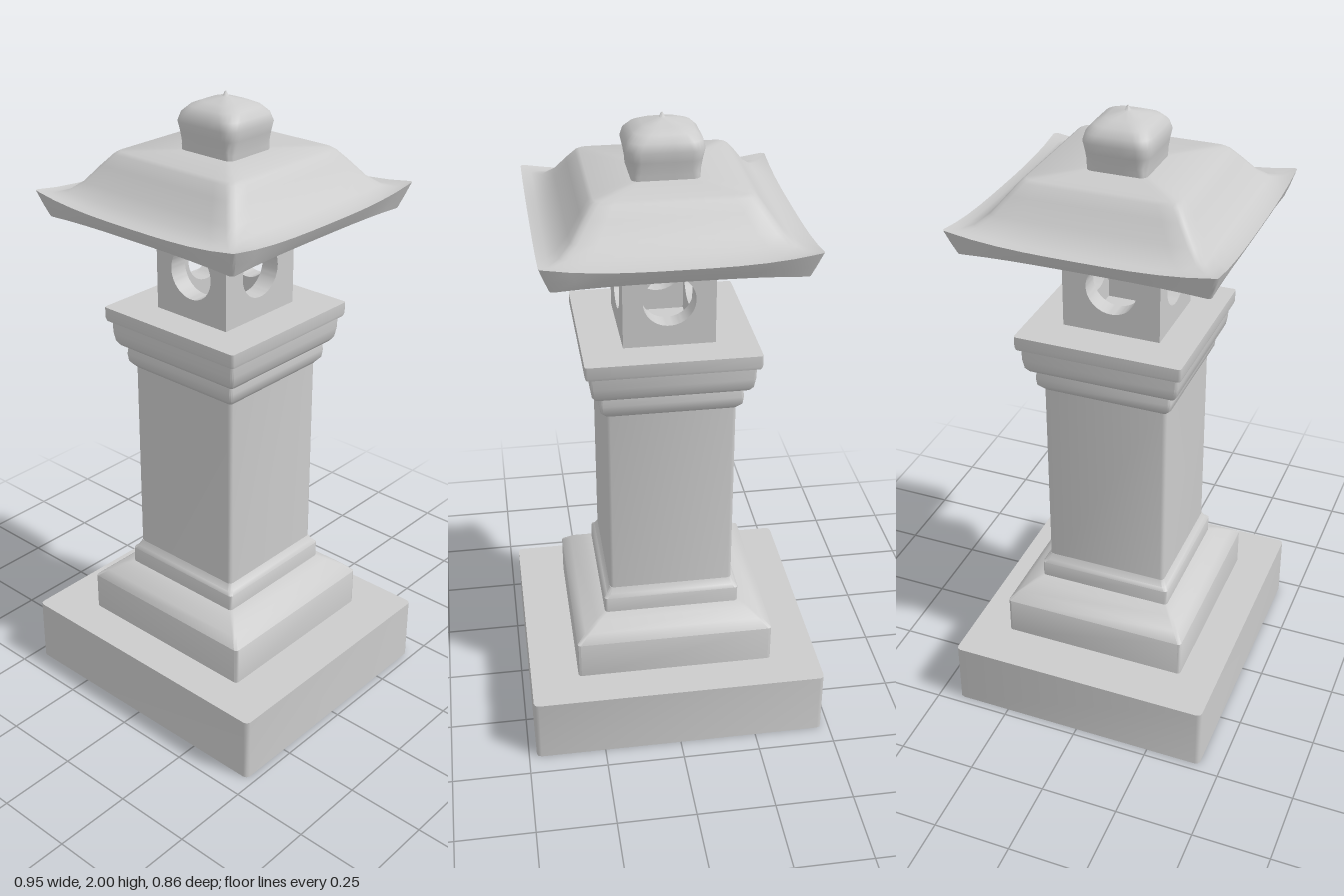
import * as THREE from 'three';
import { toCreasedNormals } from 'three/addons/utils/BufferGeometryUtils.js';

const material = new THREE.MeshStandardMaterial({ color: 0xcccccc });

// Rounded rectangle outline; lift raises and flares its corners
function outline([y, hx, hz, r, lift = 0], arcSteps, sideSteps) {
  const signs = [[1, 1], [-1, 1], [-1, -1], [1, -1]];
  const points = [];
  const arcPoint = (q, k) => {
    const a = (q % 4 + k / arcSteps) * Math.PI / 2;
    const [sx, sz] = signs[q % 4];
    return new THREE.Vector3(
      sx * (hx - r + lift * 0.2) + r * Math.cos(a), y + lift,
      sz * (hz - r + lift * 0.2) + r * Math.sin(a));
  };
  for (let q = 0; q < 4; q++) {
    for (let k = 0; k <= arcSteps; k++) points.push(arcPoint(q, k));
    const from = arcPoint(q, arcSteps), to = arcPoint(q + 1, 0);
    for (let s = 1; s < sideSteps; s++) {
      const p = from.clone().lerp(to, s / sideSteps);
      p.y = y + lift * Math.abs(2 * s / sideSteps - 1) ** 3;
      points.push(p);
    }
  }
  return points;
}

// Capped solid through a stack of outlines [y, halfX, halfZ, cornerRadius, lift]
function loft(name, rings, { arcSteps = 2, sideSteps = 1, crease = 0.9 } = {}) {
  const loops = rings.map(r => outline(r, arcSteps, sideSteps));
  const n = loops[0].length, last = loops.length - 1;
  const position = loops.flat().flatMap(p => p.toArray());
  position.push(0, rings[0][0], 0, 0, rings[last][0], 0);
  const bottom = n * loops.length, top = bottom + 1, index = [];
  for (let j = 0; j < n; j++) {
    const k = (j + 1) % n;
    for (let i = 0; i < last; i++) {
      const a = i * n + j, b = i * n + k;
      index.push(a, a + n, b, b, a + n, b + n);
    }
    index.push(bottom, j, k, top, last * n + k, last * n + j);
  }
  const geometry = new THREE.BufferGeometry();
  geometry.setAttribute('position', new THREE.Float32BufferAttribute(position, 3));
  geometry.setIndex(index);
  const mesh = new THREE.Mesh(toCreasedNormals(geometry, crease), material);
  mesh.name = name;
  return mesh;
}

// Four walls, each with a round opening
function createLightChamber() {
  const group = new THREE.Group();
  group.name = 'lightChamber';
  const hx = 0.14, hz = 0.155, thick = 0.06, y0 = 1.33, y1 = 1.66;
  const wall = (name, half, distance, angle) => {
    const shape = new THREE.Shape([
      new THREE.Vector2(-half, y0), new THREE.Vector2(half, y0),
      new THREE.Vector2(half, y1), new THREE.Vector2(-half, y1)]);
    shape.holes.push(new THREE.Path().absarc(0, 1.48, 0.08, 0, Math.PI * 2, true));
    const geometry = new THREE.ExtrudeGeometry(shape, { depth: thick, bevelEnabled: false, curveSegments: 32 });
    geometry.translate(0, 0, distance - thick);
    geometry.rotateY(angle);
    const mesh = new THREE.Mesh(toCreasedNormals(geometry, 0.6), material);
    mesh.name = name;
    group.add(mesh);
  };
  wall('frontWall', hx, hz, 0);
  wall('backWall', hx, hz, Math.PI);
  wall('leftWall', hz - thick, hx, Math.PI / 2);
  wall('rightWall', hz - thick, hx, -Math.PI / 2);
  return group;
}

export function createModel() {
  const model = new THREE.Group();
  model.name = 'stoneLantern';

  model.add(loft('base', [[0, 0.475, 0.43, 0.015], [0.215, 0.475, 0.43, 0.015]]));

  // Plinth with a rounded shoulder
  model.add(loft('plinth', [
    [0.21, 0.32, 0.305, 0.01], [0.34, 0.32, 0.305, 0.01], [0.365, 0.29, 0.28, 0.01],
    [0.39, 0.25, 0.245, 0.01], [0.405, 0.215, 0.215, 0.01]]));

  model.add(loft('lowerCollar', [
    [0.4, 0.22, 0.22, 0.01], [0.455, 0.22, 0.22, 0.01],
    [0.465, 0.21, 0.21, 0.01], [0.485, 0.2, 0.2, 0.01]]));

  model.add(loft('shaft', [[0.45, 0.2, 0.2, 0.012], [1.15, 0.2, 0.2, 0.012]]));

  // Stepped mouldings that widen upward
  model.add(loft('capital', [
    [1.13, 0.2, 0.2, 0.008], [1.15, 0.217, 0.217, 0.008], [1.175, 0.22, 0.22, 0.008],
    [1.2, 0.217, 0.217, 0.008], [1.207, 0.235, 0.235, 0.008], [1.22, 0.244, 0.244, 0.008],
    [1.25, 0.249, 0.249, 0.008], [1.287, 0.25, 0.25, 0.008], [1.29, 0.262, 0.262, 0.008],
    [1.3, 0.265, 0.265, 0.008], [1.335, 0.265, 0.265, 0.008]]));

  model.add(createLightChamber());

  // Sweeping roof with upturned corners
  model.add(loft('roof', [
    [1.645, 0.365, 0.38, 0.01, -0.008], [1.665, 0.375, 0.39, 0.01, 0.008],
    [1.692, 0.387, 0.4, 0.01, 0.024], [1.695, 0.36, 0.372, 0.015, 0.01],
    [1.71, 0.33, 0.342, 0.02, 0.002], [1.74, 0.297, 0.307, 0.02],
    [1.79, 0.26, 0.267, 0.02], [1.822, 0.234, 0.24, 0.02], [1.83, 0.222, 0.228, 0.02]],
  { sideSteps: 10 }));

  // Bud-shaped finial ending in a small point
  model.add(loft('finial', [
    [1.825, 0.1, 0.092, 0.02], [1.845, 0.102, 0.094, 0.025], [1.855, 0.103, 0.095, 0.03],
    [1.885, 0.108, 0.1, 0.035], [1.915, 0.115, 0.106, 0.04], [1.94, 0.109, 0.1, 0.045],
    [1.96, 0.09, 0.083, 0.045], [1.973, 0.06, 0.055, 0.035], [1.981, 0.025, 0.023, 0.018],
    [1.986, 0.009, 0.009, 0.008], [2, 0.002, 0.002, 0.0015]],
  { arcSteps: 5, sideSteps: 3, crease: 1.1 }));

  return model;
}
